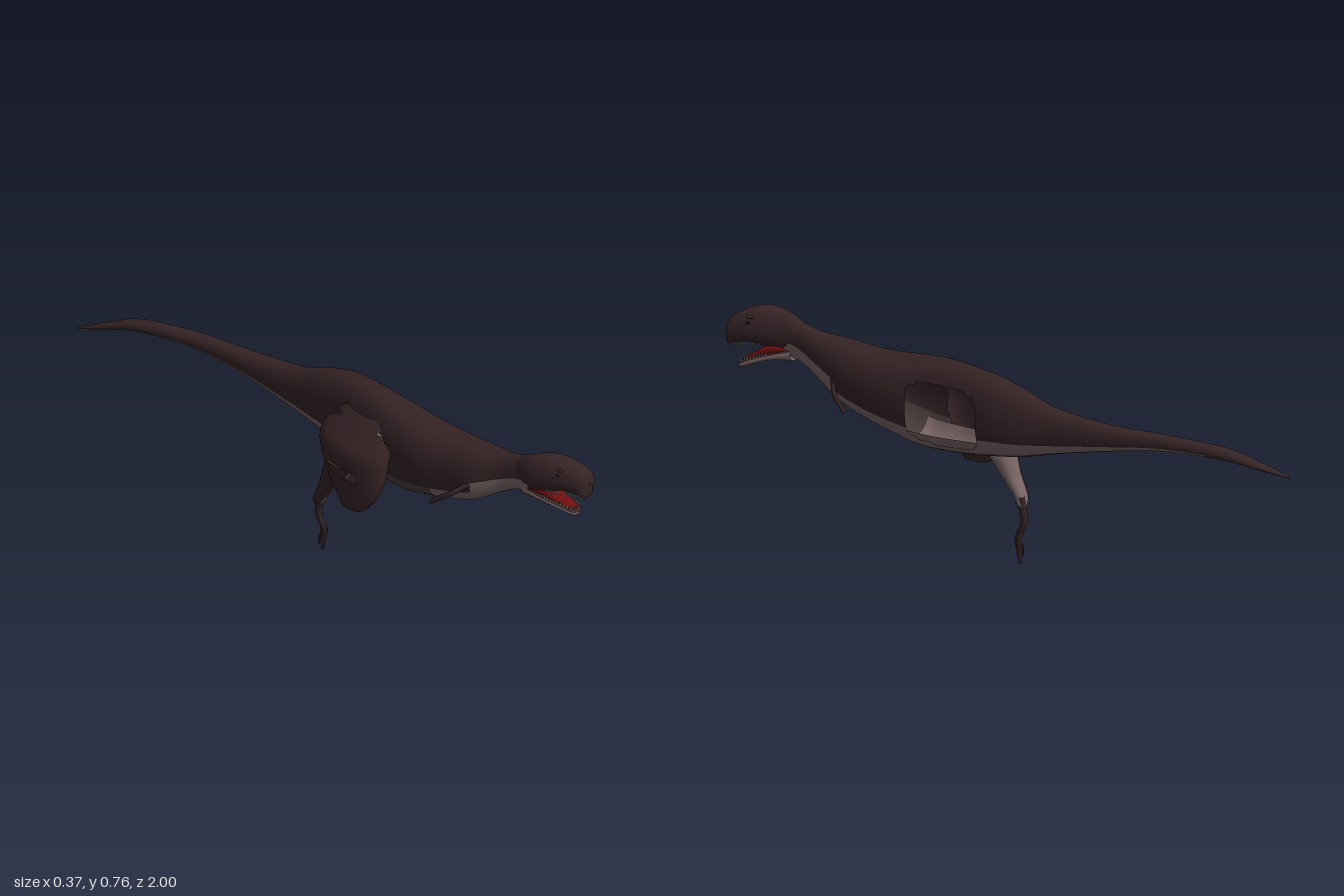
import * as THREE from 'three';

const paint = (name, color) => {
  const m = new THREE.MeshStandardMaterial({ color, side: THREE.DoubleSide });
  m.name = name;
  return m;
};

export function createModel() {
  const model = new THREE.Group();
  model.name = 'dinosaur';
  const hide = paint('dark brown hide', 0x352325);
  const belly = paint('pale belly', 0x7b6667);
  const inner = paint('grey brown skin', 0x483c3c);
  const red = paint('red mouth', 0x6c0e0e);
  const tooth = paint('ivory teeth', 0xb5aa90);
  const dark = paint('dark eye', 0x1b1214);
  const skins = [hide, belly, inner];

  const add = (name, geometry, material, parent = model) => {
    const mesh = new THREE.Mesh(geometry, material);
    mesh.name = name;
    parent.add(mesh);
    return mesh;
  };

  // Smooth oval loft. Rows: [position, centre x, half width, high edge, low edge].
  // Upright lofts run down y with their edges in z; others run along z.
  // pick(x, y, z, f) returns the skin index of a face, or -1 for a gap.
  function loft(rows, { n = 24, m = 24, upright = false, pick = () => 0 } = {}) {
    const curve = (f) => new THREE.CatmullRomCurve3(rows.map(f), false, 'catmullrom', 0.5);
    const widths = curve((r) => new THREE.Vector3(r[0], r[1], r[2]));
    const edges = curve((r) => new THREE.Vector3(r[3], r[4], 0));
    const pos = [], faces = [[], [], []];
    for (let i = 0; i <= n; i++) {
      const w = widths.getPoint(i / n), e = edges.getPoint(i / n);
      for (let j = 0; j < m; j++) {
        const t = (j / m) * Math.PI * 2, s = Math.sin(t), c = Math.cos(t);
        const x = w.y + w.z * Math.sign(s) * Math.abs(s) ** 0.85;
        const v = (e.x + e.y) / 2 + ((e.x - e.y) / 2) * Math.sign(c) * Math.abs(c) ** 0.9;
        pos.push(x, ...(upright ? [w.x, v] : [v, w.x]));
      }
    }
    for (let i = 0; i < n; i++) {
      for (let j = 0; j < m; j++) {
        const k = (j + 1) % m;
        const a = i * m + j, b = a + m, c = (i + 1) * m + k, d = i * m + k;
        const mid = [0, 1, 2].map((q) => (pos[a * 3 + q] + pos[c * 3 + q]) / 2);
        const skin = pick(...mid, (1 + Math.cos(((j + 0.5) / m) * Math.PI * 2)) / 2);
        if (skin >= 0) faces[skin].push(a, b, d, b, c, d);
      }
    }
    const g = new THREE.BufferGeometry();
    g.setAttribute('position', new THREE.Float32BufferAttribute(pos, 3));
    g.setIndex(faces.flat());
    let start = 0;
    faces.forEach((f, q) => {
      if (f.length) g.addGroup(start, f.length, q);
      start += f.length;
    });
    g.computeVertexNormals();
    return g;
  }

  // Tail, trunk and neck, open at the left hip and where the right thigh joins
  const inside = (z, y, cz, cy, rz, ry) => ((z - cz) / rz) ** 4 + ((y - cy) / ry) ** 4 < 1;
  const trunk = [
    [-1, -0.182, 0.004, 0.467, 0.46], [-0.9, -0.135, 0.019, 0.513, 0.487],
    [-0.8, -0.095, 0.025, 0.55, 0.51], [-0.6, -0.04, 0.027, 0.57, 0.515],
    [-0.4, 0, 0.034, 0.576, 0.485], [-0.2, 0.025, 0.046, 0.602, 0.44],
    [-0.1, 0.037, 0.06, 0.64, 0.415], [0, 0.045, 0.071, 0.67, 0.4],
    [0.1, 0.042, 0.078, 0.681, 0.385], [0.2, 0.035, 0.086, 0.685, 0.375],
    [0.3, 0.034, 0.092, 0.68, 0.375], [0.4, 0.038, 0.096, 0.67, 0.4],
    [0.5, 0.047, 0.088, 0.67, 0.43], [0.6, 0.052, 0.077, 0.68, 0.47],
    [0.7, 0.066, 0.047, 0.69, 0.54], [0.76, 0.07, 0.037, 0.707, 0.575],
    [0.82, 0.076, 0.034, 0.72, 0.59],
  ];
  add('body', loft(trunk, {
    n: 140, m: 64,
    pick: (x, y, z, f) => {
      if (x > 0.05 && inside(z, y, 0.18, 0.515, 0.14, 0.105)) return -1;
      if (x < 0 && inside(z, y, 0.16, 0.515, 0.11, 0.085)) return -1;
      if (z < -0.75 || f > (z > 0.62 ? 0.45 : 0.28)) return 0;
      if (z < -0.1) return f < 0.05 ? 0 : 1;
      return z < 0.55 && (f < 0.05 || (z > 0.12 && z < 0.45 && x < 0.03)) ? 2 : 1;
    },
  }), skins);

  // Pale floor seen through the open hip
  add('bellyLining', loft([
    [0.03, 0.043, 0.068, 0.66, 0.4], [0.1, 0.042, 0.072, 0.67, 0.392],
    [0.2, 0.035, 0.08, 0.675, 0.382], [0.3, 0.034, 0.086, 0.67, 0.382],
    [0.34, 0.036, 0.087, 0.665, 0.392],
  ], { m: 40, pick: (x, y, z, f) => (f < 0.22 ? 1 : -1) }), skins);

  // Skull and lower jaw
  const head = new THREE.Group();
  head.name = 'head';
  model.add(head);
  add('skull', loft([
    [0.76, 0.07, 0.032, 0.705, 0.61], [0.82, 0.078, 0.041, 0.738, 0.605],
    [0.88, 0.1, 0.046, 0.756, 0.615], [0.93, 0.124, 0.045, 0.745, 0.628],
    [0.97, 0.142, 0.039, 0.725, 0.622], [0.99, 0.15, 0.032, 0.705, 0.612],
    [1, 0.154, 0.006, 0.675, 0.635],
  ], { n: 36, m: 36 }), skins, head);
  add('lowerJaw', loft([
    [0.79, 0.074, 0.03, 0.63, 0.575], [0.86, 0.096, 0.034, 0.6, 0.57],
    [0.92, 0.12, 0.03, 0.578, 0.55], [0.955, 0.134, 0.022, 0.56, 0.537],
    [0.967, 0.139, 0.003, 0.552, 0.545],
  ], { pick: (x, y, z, f) => (f < 0.6 ? 1 : 0) }), skins, head);
  add('mouthLining', loft([
    [0.81, 0.079, 0.028, 0.64, 0.59], [0.86, 0.097, 0.03, 0.628, 0.59],
    [0.91, 0.115, 0.025, 0.597, 0.575], [0.945, 0.129, 0.016, 0.571, 0.56],
    [0.955, 0.134, 0.002, 0.565, 0.563],
  ]), red, head);

  // Teeth along both jaws, eyes, brows and nostrils
  for (const side of [-1, 1]) {
    for (let i = 0; i < 10; i++) {
      const t = i / 9, z = 0.885 + t * 0.1, spread = 0.036 - 0.018 * t * t;
      const upper = add('upperTooth', new THREE.ConeGeometry(0.003, 0.016, 5), tooth, head);
      upper.position.set(0.104 + t * 0.045 + side * spread, 0.624 - t * 0.008, z);
      upper.rotation.x = Math.PI;
      const lower = add('lowerTooth', new THREE.ConeGeometry(0.003, 0.015, 5), tooth, head);
      lower.position.set(0.1 + t * 0.036 + side * (0.03 - 0.014 * t * t), 0.597 - t * 0.03, 0.87 + t * 0.088);
    }
    const eye = add('eye', new THREE.SphereGeometry(0.008, 12, 8), dark, head);
    eye.scale.set(0.5, 0.7, 1.2);
    eye.position.set(0.12 + side * 0.042, 0.703, 0.92);
    const brow = add('brow', new THREE.SphereGeometry(0.012, 12, 8), hide, head);
    brow.scale.set(0.6, 0.5, 1.6);
    brow.position.set(0.12 + side * 0.035, 0.722, 0.92);
    const nostril = add('nostril', new THREE.SphereGeometry(0.007, 10, 6), dark, head);
    nostril.scale.set(0.8, 1, 0.8);
    nostril.position.set(0.151 + side * 0.02, 0.68, 0.988);
  }

  // Right leg: hollow hanging thigh, two-tone shank, foot and toes
  const leg = new THREE.Group();
  leg.name = 'rightLeg';
  model.add(leg);
  const thighSkin = (x, y, z) => {
    const innerWall = x > -0.06 && y > 0.43 && y < 0.6;
    const slit = y > 0.425 && y < 0.455 && z > 0.09 && z < 0.22;
    return innerWall || slit ? -1 : 0;
  };
  add('thigh', loft([
    [0.625, -0.025, 0.018, 0.24, 0.07], [0.57, -0.053, 0.04, 0.29, 0.02],
    [0.52, -0.08, 0.053, 0.3, 0.01], [0.44, -0.092, 0.05, 0.295, 0.035],
    [0.37, -0.1, 0.042, 0.27, 0.08], [0.31, -0.103, 0.038, 0.23, 0.13],
  ], { n: 36, m: 32, upright: true, pick: thighSkin }), skins, leg);
  add('shank', loft([
    [0.42, -0.075, 0.035, 0.15, 0.03], [0.36, -0.07, 0.044, 0.11, 0.015],
    [0.3, -0.07, 0.037, 0.065, 0], [0.23, -0.073, 0.028, 0.015, -0.027],
    [0.2, -0.064, 0.018, -0.004, -0.033],
  ], { upright: true, pick: (x) => (x < -0.082 ? 0 : 1) }), skins, leg);
  add('foot', loft([
    [0.23, -0.058, 0.011, 0.005, -0.03], [0.15, -0.058, 0.01, -0.018, -0.042],
    [0.1, -0.057, 0.007, 0, -0.024], [0.06, -0.053, 0.006, 0, -0.024],
    [0, -0.05, 0.004, -0.014, -0.026],
  ], { upright: true, m: 14 }), skins, leg);

  const limb = (name, points, radius, parent) => add(name, new THREE.TubeGeometry(
    new THREE.CatmullRomCurve3(points.map((p) => new THREE.Vector3(...p))), 16, radius, 8), hide, parent);
  limb('innerToe', [[-0.052, 0.11, -0.01], [-0.044, 0.085, -0.005], [-0.043, 0.06, -0.012]], 0.003, leg);
  limb('outerToe', [[-0.058, 0.08, -0.015], [-0.062, 0.05, -0.022], [-0.06, 0.025, -0.025]], 0.003, leg);

  // Small forelimbs
  limb('rightArm', [[-0.015, 0.56, 0.61], [-0.06, 0.525, 0.57], [-0.08, 0.47, 0.5]], 0.009, model);
  limb('leftArm', [[0.115, 0.56, 0.61], [0.138, 0.52, 0.59], [0.135, 0.46, 0.55]], 0.008, model);

  return model;
}
